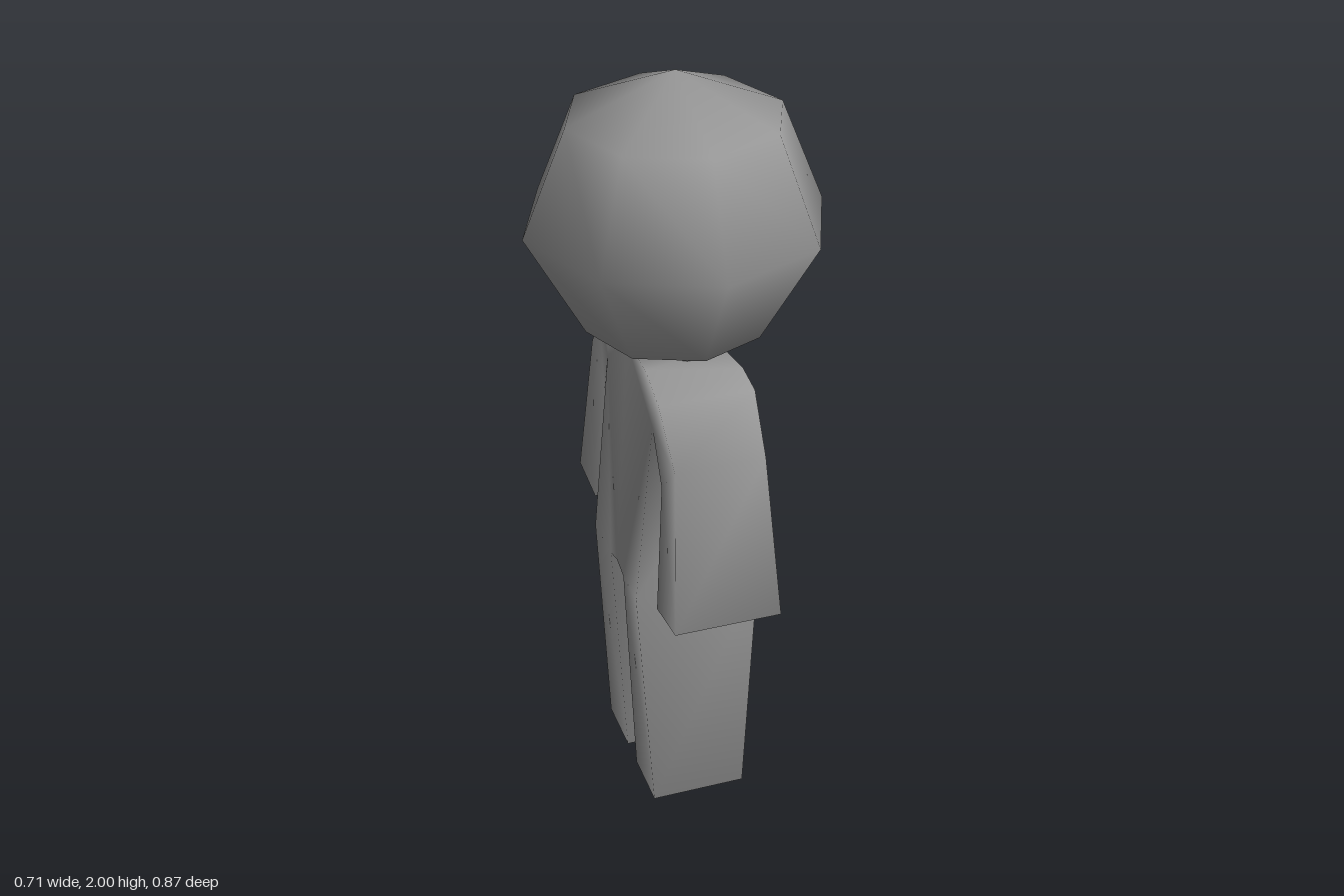
import * as THREE from 'three';
import { mergeVertices } from 'three/addons/utils/BufferGeometryUtils.js';

const material = new THREE.MeshStandardMaterial({ color: 0x989898 });

// Welds shared corners so that the shading runs smoothly across them.
function smoothMesh(name, geometry) {
  geometry.deleteAttribute('normal');
  geometry.deleteAttribute('uv');
  const welded = mergeVertices(geometry, 1e-4);
  welded.computeVertexNormals();
  const mesh = new THREE.Mesh(welded, material);
  mesh.name = name;
  return mesh;
}

// Outline of one body half, anticlockwise: x, y, half depth, drop of the -z edge
const outline = {
  crotchMiddle: [0, 0.665, 0.16],
  crotch: [0.055, 0.65, 0.16],
  footInner: [0.04, 0, 0.126],
  footOuter: [0.2, 0, 0.126],
  hip: [0.18, 0.66, 0.165],
  armpit: [0.185, 1.17, 0.12],
  elbowInner: [0.24, 1.03, 0.115],
  handInner: [0.27, 0.69, 0.138],
  handOuter: [0.414, 0.71, 0.138],
  elbowOuter: [0.342, 1.13, 0.115],
  shoulder: [0.24, 1.26, 0.122],
  collar: [0.15, 1.31, 0.125, 0.04],
  collarMiddle: [0, 1.31, 0.125, 0.06],
};

// Panels that fill the outline on both faces
const panels = [
  ['crotch', 'footInner', 'footOuter', 'hip'],
  ['crotch', 'hip', 'armpit'],
  ['crotchMiddle', 'crotch', 'armpit'],
  ['crotchMiddle', 'armpit', 'collarMiddle'],
  ['armpit', 'collar', 'collarMiddle'],
  ['armpit', 'shoulder', 'collar'],
  ['armpit', 'elbowInner', 'elbowOuter', 'shoulder'],
  ['elbowInner', 'handInner', 'handOuter', 'elbowOuter'],
];

function bodyGeometry() {
  const positions = [];
  const names = Object.keys(outline);
  const corner = (name, face, side) => {
    const [x, y, depth, drop = 0] = outline[name];
    return [x * side, face < 0 ? y - drop : y, depth * face];
  };
  const addFace = (corners, flip) => {
    const p = flip ? [...corners].reverse() : corners;
    for (let i = 1; i < p.length - 1; i++) positions.push(...p[0], ...p[i], ...p[i + 1]);
  };
  for (const side of [1, -1]) {
    // Both faces of the torso, arm and leg
    for (const face of [1, -1]) {
      for (const panel of panels) addFace(panel.map((n) => corner(n, face, side)), face * side < 0);
    }
    // Walls along the outline, left open on the middle plane
    for (let i = 0; i < names.length - 1; i++) {
      const [a, b] = [names[i], names[i + 1]];
      addFace([corner(a, 1, side), corner(a, -1, side), corner(b, -1, side), corner(b, 1, side)], side < 0);
    }
  }
  const geometry = new THREE.BufferGeometry();
  geometry.setAttribute('position', new THREE.Float32BufferAttribute(positions, 3));
  return geometry;
}

export function createModel() {
  const figure = new THREE.Group();
  figure.name = 'figure';

  // Head and neck: eight-sided turned profile
  const profile = [[0.095, 1.23], [0.095, 1.325], [0.228, 1.355], [0.377, 1.625], [0.267, 1.89], [0, 2]];
  figure.add(smoothMesh('headAndNeck',
    new THREE.LatheGeometry(profile.map(([x, y]) => new THREE.Vector2(x, y)), 8)));

  // Torso, arms and legs as one continuous skin
  figure.add(smoothMesh('body', bodyGeometry()));

  // The whole figure is turned about the vertical axis
  figure.rotation.y = -1.125;
  const model = new THREE.Group();
  model.add(figure);
  return model;
}
